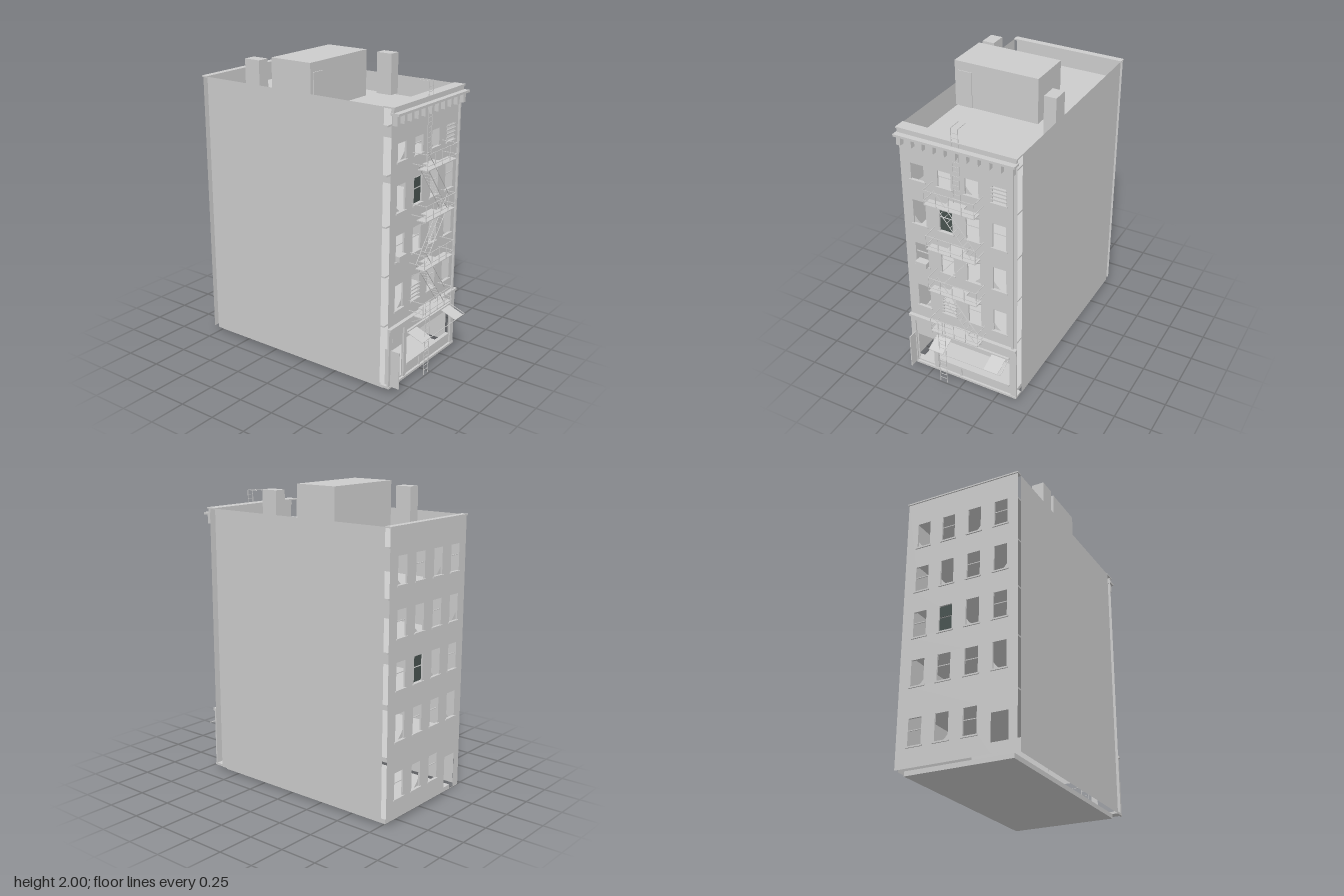
import * as THREE from 'three';

const masonry = new THREE.MeshStandardMaterial({ color: 0xcccccc, side: THREE.DoubleSide });
masonry.name = 'grey masonry';
const darkGlass = new THREE.MeshStandardMaterial({ color: 0x47524f });
darkGlass.name = 'dark glass';

// Box given by its limits on each axis
function box(parent, name, x0, x1, y0, y1, z0, z1, material = masonry) {
  const mesh = new THREE.Mesh(new THREE.BoxGeometry(x1 - x0, y1 - y0, z1 - z0), material);
  mesh.position.set((x0 + x1) / 2, (y0 + y1) / 2, (z0 + z1) / 2);
  mesh.name = name;
  parent.add(mesh);
  return mesh;
}

// Thin square bar between two points
function bar(parent, name, a, b, t = 0.0035) {
  const p = new THREE.Vector3(...a), q = new THREE.Vector3(...b);
  const d = q.clone().sub(p);
  const mesh = new THREE.Mesh(new THREE.BoxGeometry(t, d.length(), t), masonry);
  mesh.position.copy(p).add(q).multiplyScalar(0.5);
  mesh.quaternion.setFromUnitVectors(new THREE.Vector3(0, 1, 0), d.normalize());
  mesh.name = name;
  parent.add(mesh);
}

function group(parent, name) {
  const g = new THREE.Group();
  g.name = name;
  parent.add(g);
  return g;
}

// Flat wall with rectangular openings [x0, x1, y0, y1]
function wall(parent, name, x0, x1, y0, y1, z, openings) {
  const rect = (Type, a, b, c, d) => {
    const s = new Type();
    s.moveTo(a, c); s.lineTo(b, c); s.lineTo(b, d); s.lineTo(a, d); s.closePath();
    return s;
  };
  const shape = rect(THREE.Shape, x0, x1, y0, y1);
  openings.forEach(o => shape.holes.push(rect(THREE.Path, ...o)));
  const mesh = new THREE.Mesh(new THREE.ShapeGeometry(shape), masonry);
  mesh.position.z = z;
  mesh.name = name;
  parent.add(mesh);
}

// Broken pane left in the corner of a window
function shard(parent, x, y, w, h, z) {
  const s = new THREE.Shape();
  s.moveTo(x, y); s.lineTo(x + w, y); s.lineTo(x + w * 0.4, y + h * 0.5); s.lineTo(x, y + h); s.closePath();
  const mesh = new THREE.Mesh(new THREE.ShapeGeometry(s), masonry);
  mesh.position.z = z;
  mesh.name = 'brokenPane';
  parent.add(mesh);
}

// Frame, sash rail and sill of one window; dir is the outward z direction
function windowTrim(parent, [x0, x1, y0, y1], z, dir, style) {
  const g = group(parent, 'window');
  const f = 0.005, zi = z - dir * 0.012, lo = Math.min(z, zi), hi = Math.max(z, zi);
  box(g, 'jamb', x0, x0 + f, y0, y1, lo, hi);
  box(g, 'jamb', x1 - f, x1, y0, y1, lo, hi);
  box(g, 'head', x0, x1, y1 - f, y1, lo, hi);
  const out = z + dir * 0.008;
  box(g, 'sill', x0 - 0.006, x1 + 0.006, y0 - 0.01, y0, Math.min(zi, out), Math.max(zi, out));
  const mid = y0 + (y1 - y0) * 0.55;
  if (style === 'boards') {
    for (let i = 0; i < 4; i++) {
      const y = y0 + 0.018 + i * 0.025;
      box(g, 'board', x0 - 0.002, x1 + 0.002, y, y + 0.009, z, z + 0.006);
    }
  } else if (style === 'glass') {
    for (const [a, b] of [[y0, mid], [mid, y1]])
      box(g, 'pane', x0 + f, x1 - f, a + 0.004, b - 0.004, zi - 0.001, zi + 0.001, darkGlass);
  } else if (style === 'sash') {
    box(g, 'sashRail', x0, x1, mid, mid + f, zi - 0.003, zi + 0.003);
  } else {
    const s = style === 'left' ? 1 : -1;
    shard(g, s > 0 ? x0 + f : x1 - f, y0, s * 0.045, 0.05, zi);
  }
}

// Two rails with evenly spaced rungs running between points a and b; off is the half width
function ladder(parent, name, a, b, off, count) {
  const g = group(parent, name);
  const shift = (p, s) => p.map((v, i) => v + s * off[i]);
  for (const s of [-1, 1]) bar(g, 'rail', shift(a, s), shift(b, s));
  for (let i = 1; i < count; i++) {
    const p = a.map((v, k) => v + (b[k] - v) * i / count);
    bar(g, 'rung', shift(p, -1), shift(p, 1), 0.0025);
  }
  return g;
}

export function createModel() {
  const model = new THREE.Group();
  model.name = 'apartmentBuilding';
  const columns = [-0.28, -0.095, 0.09, 0.27];
  const FZ = 0.675, BZ = -0.792;

  // Shell: thin side walls standing clear of the floors, roof and inner wall
  const shell = group(model, 'shell');
  for (const x of [-0.397, 0.394]) {
    const side = new THREE.Mesh(new THREE.PlaneGeometry(1.377, 1.79), masonry);
    side.rotation.y = Math.sign(x) * Math.PI / 2;
    side.position.set(x, 0.925, -0.0665);
    side.name = 'sideWall';
    shell.add(side);
  }
  box(shell, 'base', -0.357, 0.352, 0, 0.03, -0.755, 0.622);
  for (const y of [0.42, 0.75, 1.07, 1.39]) box(shell, 'floor', -0.357, 0.352, y, y + 0.01, -0.755, 0.622);
  box(shell, 'roof', -0.357, 0.352, 1.69, 1.7, -0.755, 0.622);
  box(shell, 'innerWall', -0.2, 0.352, 0.03, 1.69, -0.003, 0.003);

  // Front wall with windows, doorway and shop opening
  const front = group(model, 'front');
  const openings = [];
  [[0.535, 0.705], [0.86, 1.03], [1.17, 1.345], [1.485, 1.6]].forEach(([y0, y1]) =>
    columns.forEach(x => openings.push([x - 0.05, x + 0.05, y0, y1])));
  const styles = ['right', 'boards', 'sash', 'left', 'sash', 'sash', 'right', 'left',
    'left', 'glass', 'sash', 'sash', 'right', 'sash', 'left', 'boards'];
  wall(front, 'frontWall', -0.395, 0.39, 0.035, 1.82, FZ,
    [...openings, [-0.35, -0.235, 0.055, 0.275], [-0.19, 0.335, 0.12, 0.3]]);
  openings.forEach((o, i) => windowTrim(front, o, FZ, 1, styles[i]));
  box(front, 'airConditioner', -0.32, -0.24, 0.86, 0.895, 0.65, 0.7);

  // Back wall with windows and door
  const back = group(model, 'back');
  const rear = [];
  [0.16, 0.53, 0.85, 1.165, 1.48].forEach((y, r) => columns.forEach((x, c) => {
    if (r || c) rear.push([x - 0.05, x + 0.05, y, y + 0.175]);
  }));
  wall(back, 'backWall', -0.397, 0.394, 0.03, 1.82, BZ, [...rear, [-0.34, -0.23, 0.035, 0.27]]);
  rear.forEach((o, i) => windowTrim(back, o, BZ, -1, i === 9 ? 'glass' : ['sash', 'left', 'sash', 'right', 'sash'][i % 5]));
  box(back, 'coping', -0.4, 0.397, 1.815, 1.824, -0.8, -0.755);

  // Cornice, brackets, belt course, downpipe
  const trim = group(model, 'trim');
  box(trim, 'coping', -0.4, 0.397, 1.815, 1.824, 0.617, 0.695);
  box(trim, 'cornice', -0.4, 0.397, 1.775, 1.79, 0.67, 0.727);
  box(trim, 'corniceBack', -0.395, 0.39, 1.79, 1.815, 0.67, 0.69);
  for (let i = 0; i < 11; i++) {
    const x = -0.375 + i * 0.074;
    box(trim, 'bracket', x - 0.014, x + 0.014, 1.715, 1.775, FZ, 0.71);
  }
  box(trim, 'beltCourse', -0.4, 0.39, 0.425, 0.442, FZ, 0.7);
  box(trim, 'beltBand', -0.395, 0.39, 0.395, 0.425, FZ, 0.688);
  box(trim, 'downpipe', 0.355, 0.367, 0.44, 1.775, FZ, 0.688);

  // Shopfront, entrance and remains of the awning
  const shop = group(model, 'shopfront');
  box(shop, 'threshold', -0.395, 0.39, 0.03, 0.045, 0.622, 0.69);
  for (const [a, b] of [[-0.395, -0.36], [-0.225, -0.195], [0.35, 0.39]])
    box(shop, 'pier', a, b, 0.04, 0.395, FZ, 0.686);
  box(shop, 'transomPanel', -0.35, -0.235, 0.33, 0.39, FZ, 0.681);
  box(shop, 'shopSill', -0.19, 0.335, 0.11, 0.122, 0.66, 0.685);
  box(shop, 'shopPost', -0.035, -0.02, 0.045, 0.12, FZ, 0.682);
  box(shop, 'fascia', -0.19, 0.335, 0.335, 0.35, FZ, 0.69);
  box(shop, 'openDoor', -0.374, -0.367, 0.04, 0.29, 0.645, 0.748);
  for (const x of [-0.19, 0.335]) bar(shop, 'awningArm', [x, 0.342, 0.685], [x, 0.3, 0.798]);
  bar(shop, 'awningBar', [-0.19, 0.3, 0.798], [0.335, 0.3, 0.798]);
  for (const [a, b] of [[-0.19, -0.085], [0.215, 0.315]]) {
    const cloth = box(shop, 'awningCloth', a, b, 0.319, 0.322, 0.682, 0.8);
    cloth.rotation.x = 0.35;
  }

  // Fire escape: platforms with railings and braces
  const escape = group(model, 'fireEscape');
  const levels = [0.455, 0.775, 1.09, 1.41];
  levels.forEach(y => {
    const p = group(escape, 'platform');
    box(p, 'deck', -0.172, 0.168, y - 0.003, y + 0.003, 0.72, 0.785);
    box(p, 'deckBack', -0.06, 0.06, y - 0.003, y + 0.003, 0.68, 0.72);
    for (const h of [0.03, 0.1]) {
      bar(p, 'frontRail', [-0.172, y + h, 0.785], [0.168, y + h, 0.785]);
      for (const x of [-0.172, 0.168]) bar(p, 'sideRail', [x, y + h, 0.68], [x, y + h, 0.785]);
    }
    for (let i = 0; i <= 4; i++) {
      const x = -0.172 + i * 0.085;
      bar(p, 'post', [x, y, 0.785], [x, y + 0.1, 0.785]);
    }
    for (const x of [-0.145, 0.14]) bar(p, 'brace', [x, y, 0.785], [x, y - 0.065, 0.678]);
  });

  // Stairs zigzag between platforms, with one handrail each
  for (let i = 0; i < 3; i++) {
    const s = i === 1 ? -1 : 1;
    const a = [s * 0.13, levels[i], 0.725], b = [-s * 0.12, levels[i + 1], 0.725];
    const stair = ladder(escape, 'stair', a, b, [0, 0, 0.03], 12);
    bar(stair, 'handrail', [a[0], a[1] + 0.1, 0.757], [b[0], b[1] + 0.1, 0.757]);
  }
  ladder(escape, 'dropLadder', [-0.1, 0.04, 0.775], [-0.1, 0.55, 0.775], [0.025, 0, 0], 16);
  ladder(escape, 'roofLadder', [-0.003, 1.41, 0.69], [-0.003, 1.91, 0.69], [0.023, 0, 0], 16);
  for (const x of [-0.026, 0.02]) bar(escape, 'ladderHook', [x, 1.91, 0.69], [x, 1.91, 0.605]);

  // Stair house and chimneys rising from the roof
  const roofBox = (name, x0, x1, z0, z1, top) => box(model, name, x0, x1, 1.7, top, z0, z1);
  roofBox('stairHouse', -0.37, 0.208, -0.23, 0.072, 2);
  box(model, 'stairHouseDoor', -0.345, -0.25, 1.7, 1.94, 0.072, 0.078);
  roofBox('rightChimney', 0.308, 0.388, 0.085, 0.198, 1.97);
  roofBox('leftChimney', -0.392, -0.31, -0.427, -0.313, 1.975);
  return model;
}
